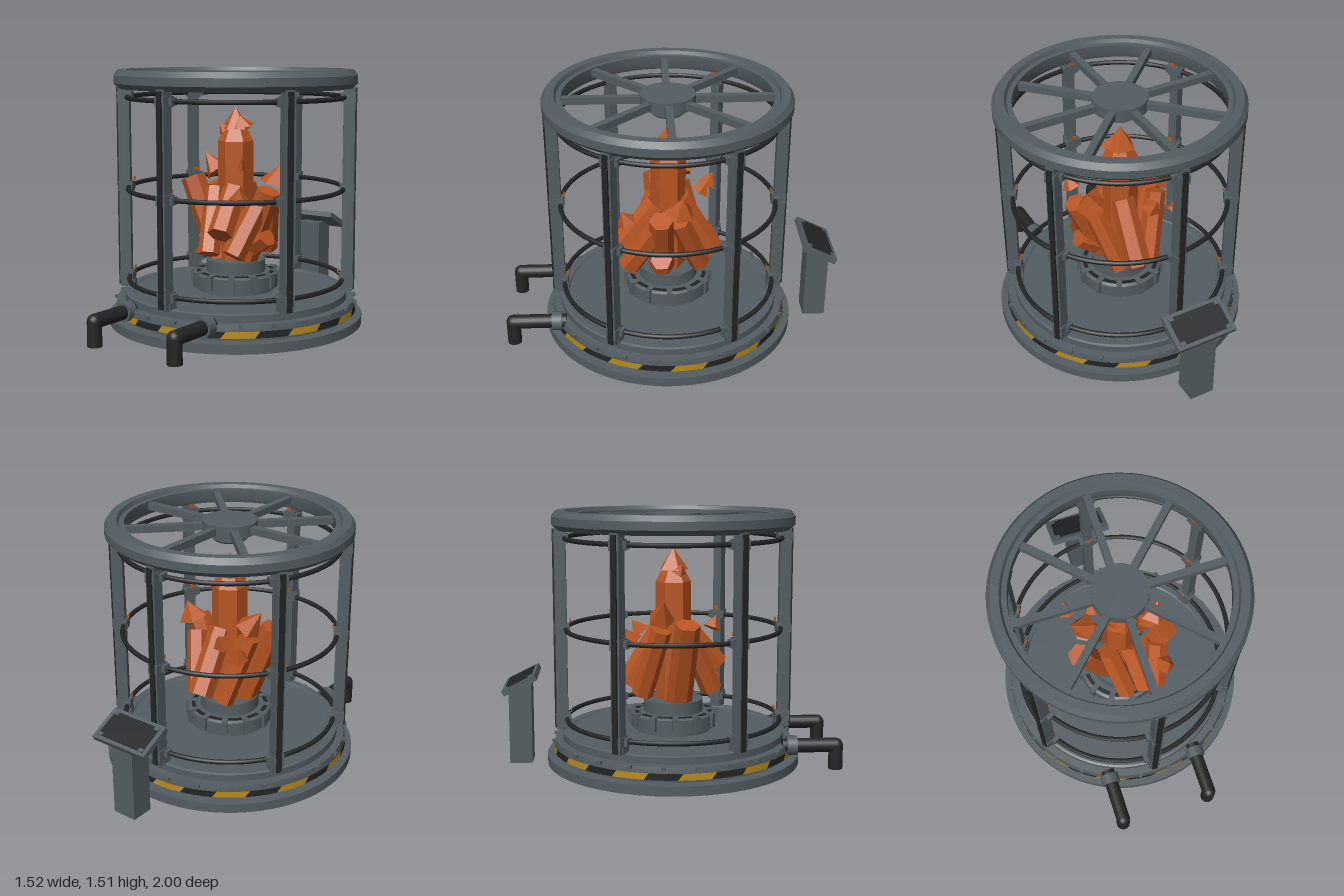
import * as THREE from 'three';
import { toCreasedNormals } from 'three/addons/utils/BufferGeometryUtils.js';

const paint = (name, color) => {
  const m = new THREE.MeshStandardMaterial({ color });
  m.name = name;
  return m;
};

export function createModel() {
  const grey = paint('steel grey', 0x535d62);
  const black = paint('rubber black', 0x232425);
  const yellow = paint('hazard yellow', 0xb98c1e);
  const orange = paint('crystal orange', 0xb85522);

  const model = new THREE.Group();
  model.name = 'crystalContainment';
  const chamber = new THREE.Group();
  chamber.name = 'chamber';
  chamber.position.z = 0.015;
  model.add(chamber);

  const add = (parent, name, geo, mat, x = 0, y = 0, z = 0) => {
    const m = new THREE.Mesh(geo, mat);
    m.name = name;
    m.position.set(x, y, z);
    parent.add(m);
    return m;
  };
  const box = (w, h, d) => new THREE.BoxGeometry(w, h, d);
  const cyl = (r, h, n = 48) => new THREE.CylinderGeometry(r, r, h, n);
  const faceted = (geo) => toCreasedNormals(geo, 0.1);
  const lathe = (pts, n = 64) => toCreasedNormals(
    new THREE.LatheGeometry(pts.map(([x, y]) => new THREE.Vector2(x, y)), n), 0.4);
  // Repeats a part around the vertical axis
  const around = (parent, name, count, build, start = 0) => {
    for (let i = 0; i < count; i++) {
      const g = new THREE.Group();
      g.name = name;
      g.rotation.y = start + (i * Math.PI * 2) / count;
      parent.add(g);
      build(g);
    }
  };

  // Stepped base with a sunken floor
  add(chamber, 'base', lathe([
    [0, 0], [0.761, 0], [0.761, 0.055], [0.69, 0.055], [0.69, 0.075], [0.718, 0.075], [0.718, 0.118],
    [0.712, 0.148], [0.668, 0.15], [0.668, 0.19], [0.655, 0.196], [0.62, 0.196], [0.61, 0.187], [0, 0.187],
  ], 72), grey);

  // Slanted hazard stripes
  const stripe = new THREE.CylinderGeometry(0.724, 0.724, 0.038, 4, 1, true, 0, Math.PI / 12);
  const p = stripe.attributes.position;
  for (let i = 0; i < p.count; i++) {
    const a = Math.atan2(p.getX(i), p.getZ(i)) + (p.getY(i) > 0 ? 0.02 : -0.02);
    p.setX(i, 0.724 * Math.sin(a));
    p.setZ(i, 0.724 * Math.cos(a));
  }
  stripe.computeVertexNormals();
  around(chamber, 'yellowStripe', 12, (g) => add(g, 'yellowStripe', stripe, yellow, 0, 0.096, 0));
  around(chamber, 'blackStripe', 12, (g) => add(g, 'blackStripe', stripe, black, 0, 0.096, 0), Math.PI / 12);
  around(chamber, 'baseBolt', 24, (g) => add(g, 'baseBolt', box(0.022, 0.018, 0.025), grey, 0, 0.142, 0.72), Math.PI / 24);

  // Pedestal under the crystals
  add(chamber, 'pedestal', lathe([
    [0.225, 0.185], [0.225, 0.205], [0.255, 0.21], [0.255, 0.29], [0.24, 0.3],
    [0.178, 0.3], [0.178, 0.375], [0, 0.375],
  ], 48), grey);
  add(chamber, 'pedestalGroove', lathe([[0.235, 0.298], [0.235, 0.304], [0.212, 0.304], [0.212, 0.298]], 48), black);
  around(chamber, 'pedestalRib', 12, (g) => add(g, 'pedestalRib', box(0.035, 0.085, 0.07), grey, 0, 0.265, 0.238));

  // Six posts with clamps, outer strips and indicator lights
  const levels = [0.26, 0.805, 1.345];
  around(chamber, 'post', 6, (g) => {
    add(g, 'postBeam', box(0.054, 1.22, 0.068), grey, 0, 0.8, 0.67);
    add(g, 'postStrip', box(0.032, 1.2, 0.014), black, 0, 0.8, 0.708);
    add(g, 'postFoot', box(0.07, 0.04, 0.06), grey, 0, 0.21, 0.645);
    for (const y of levels) {
      add(g, 'clamp', box(0.066, 0.06, 0.088), grey, 0, y, 0.664);
      add(g, 'clampSleeve', box(0.106, 0.044, 0.048), grey, 0, y, 0.645);
      add(g, 'indicatorLight', box(0.028, 0.022, 0.007), orange, 0, y + 0.047, 0.616);
    }
  });

  // Horizontal guard rings
  for (const y of levels) {
    const ring = new THREE.TorusGeometry(0.642, 0.014, 8, 72);
    ring.rotateX(Math.PI / 2);
    add(chamber, 'guardRing', ring, black, 0, y, 0);
  }

  // Top ring, spokes and hub
  add(chamber, 'topRing', lathe([
    [0.615, 1.4], [0.685, 1.398], [0.718, 1.428], [0.718, 1.475], [0.695, 1.507], [0.645, 1.507],
    [0.635, 1.485], [0.605, 1.485], [0.605, 1.425], [0.615, 1.4],
  ]), grey);
  around(chamber, 'spoke', 8, (g) => add(g, 'spoke', box(0.042, 0.042, 0.5), grey, 0, 1.455, 0.375));
  add(chamber, 'hub', cyl(0.16, 0.07), grey, 0, 1.455, 0);
  add(chamber, 'hubEmitter', lathe([
    [0, 1.385], [0.06, 1.385], [0.06, 1.368], [0.09, 1.368], [0.103, 1.38], [0.103, 1.425],
  ], 32), grey);

  // Central crystal with a stepped point
  const crystals = new THREE.Group();
  crystals.name = 'crystals';
  chamber.add(crystals);
  add(crystals, 'mainCrystal', faceted(cyl(0.106, 0.72, 6)), orange, 0, 0.725, 0);
  add(crystals, 'mainCrystalShoulder', faceted(new THREE.CylinderGeometry(0.06, 0.106, 0.085, 6)), orange, 0, 1.127, 0);

  // Leaning hexagonal crystals: start, end, radius
  const up = new THREE.Vector3(0, 1, 0);
  const leaning = [
    [[-0.09, 0.37, 0.03], [-0.27, 0.86, 0.07], 0.078],
    [[-0.09, 0.42, -0.19], [-0.2, 0.82, -0.08], 0.065],
    [[0.02, 0.46, -0.27], [0.02, 0.82, -0.06], 0.075],
    [[0.1, 0.42, -0.19], [0.2, 0.76, -0.06], 0.065],
    [[0.1, 0.4, 0.04], [0.275, 0.81, 0.05], 0.075],
    [[0.15, 0.44, 0.24], [0.21, 0.72, 0.07], 0.07],
    [[0.08, 0.56, 0.27], [0.04, 0.8, 0.07], 0.075],
    [[-0.03, 0.43, 0.23], [-0.1, 0.8, 0.07], 0.065],
    [[0.06, 0.41, 0.03], [0.26, 0.54, 0.05], 0.068],
  ];
  // Loose pointed shards: base centre, apex, radius
  const shards = [
    [[0, 1.155, 0], [0, 1.287, 0], 0.092],
    [[0.05, 1.17, 0], [0.04, 1.235, 0.01], 0.075],
    [[-0.05, 1.15, 0.03], [-0.08, 1.19, 0.05], 0.05],
    [[-0.19, 0.88, -0.08], [-0.28, 1.0, -0.07], 0.08],
    [[0.23, 0.835, -0.06], [0.262, 0.945, -0.08], 0.09],
    [[-0.25, 0.77, -0.25], [-0.27, 0.845, -0.29], 0.06],
    [[0.2, 0.77, 0.25], [0.22, 0.845, 0.28], 0.06],
    [[-0.1, 0.8, -0.2], [-0.11, 0.87, -0.25], 0.06],
    [[0.07, 0.93, 0.06], [0.1, 1.0, 0.08], 0.035],
  ];
  const grow = (name, [from, to, r], tip, sides) => {
    const a = new THREE.Vector3(...from);
    const b = new THREE.Vector3(...to);
    const geo = faceted(new THREE.CylinderGeometry(tip * r, r, a.distanceTo(b), sides));
    const m = add(crystals, name, geo, orange);
    m.position.lerpVectors(a, b, 0.5);
    m.quaternion.setFromUnitVectors(up, b.sub(a).normalize());
  };
  leaning.forEach((c) => grow('leaningCrystal', c, 0.95, 6));
  shards.forEach((s) => grow('shard', s, 0, 5));

  // Two supply pipes at the front
  for (const x of [-0.283, 0.283]) {
    const pipe = new THREE.Group();
    pipe.name = 'supplyPipe';
    model.add(pipe);
    add(pipe, 'pipeArm', cyl(0.042, 0.32, 20), black, x, 0.142, 0.798).rotation.x = Math.PI / 2;
    add(pipe, 'pipeElbow', new THREE.SphereGeometry(0.042, 20, 12), black, x, 0.142, 0.958);
    add(pipe, 'pipeDrop', cyl(0.042, 0.142, 20), black, x, 0.071, 0.958);
    add(pipe, 'pipeFlange', cyl(0.057, 0.06, 24), grey, x, 0.142, 0.695).rotation.x = Math.PI / 2;
  }

  // Control console at the back
  const console_ = new THREE.Group();
  console_.name = 'console';
  model.add(console_);
  add(console_, 'consolePost', box(0.15, 0.475, 0.135), grey, 0, 0.2375, -0.902);
  const panel = new THREE.Group();
  panel.name = 'consolePanel';
  panel.position.set(0, 0.497, -0.896);
  panel.rotation.x = -0.46;
  console_.add(panel);
  add(panel, 'panelBody', box(0.375, 0.034, 0.215), grey);
  add(panel, 'screen', box(0.32, 0.008, 0.17), black, 0, 0.018, 0);
  for (const sx of [-1, 1]) for (const sz of [-1, 1]) {
    add(panel, 'screenCorner', box(0.032, 0.008, 0.022), grey, sx * 0.148, 0.02, sz * 0.076);
  }
  return model;
}
